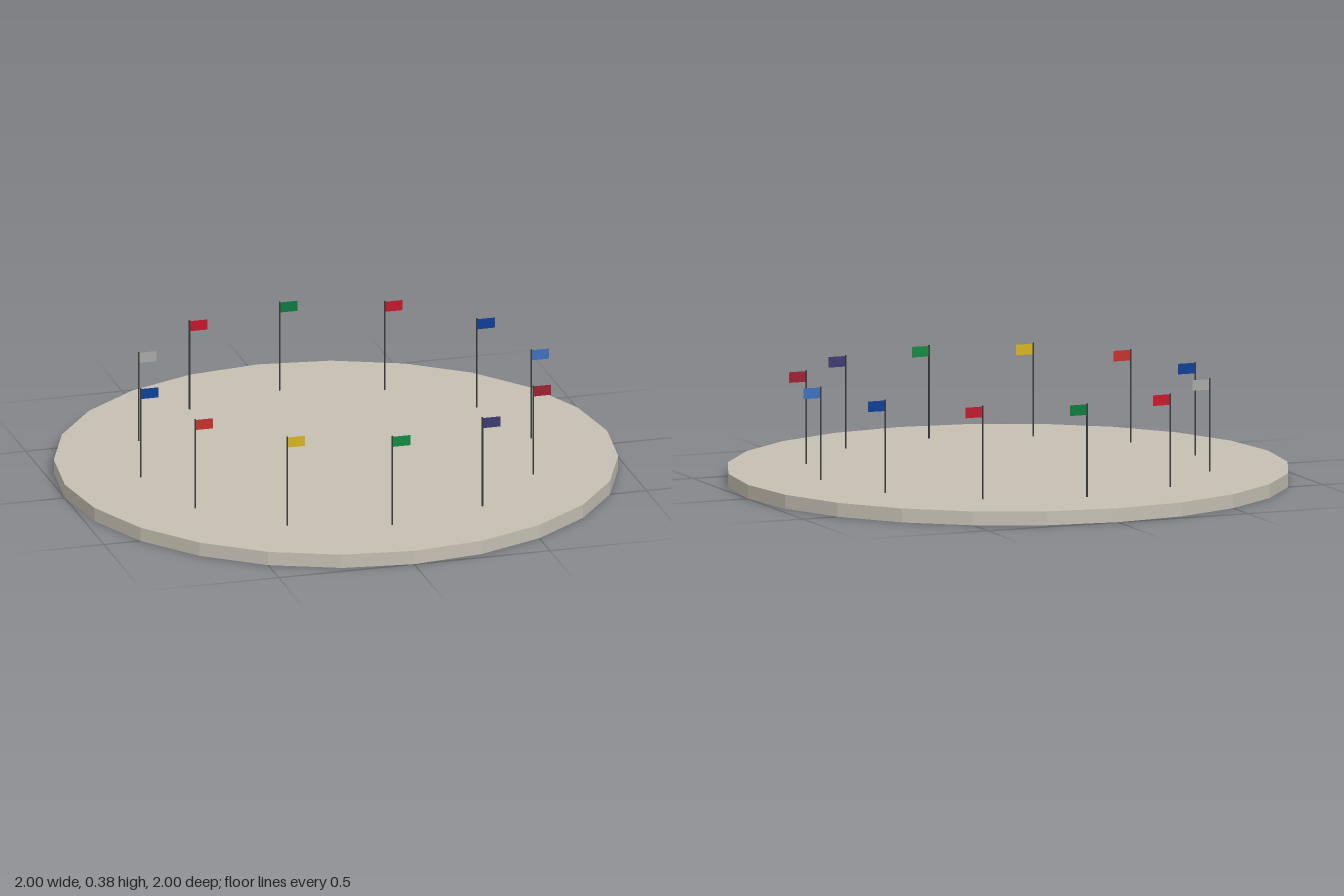
import * as THREE from 'three';

const SIDES = 24, HEIGHT = 0.05, RING = 0.72, POLE_TOP = 0.385;

const paint = (color, side = THREE.FrontSide) =>
  new THREE.MeshStandardMaterial({ color, side, flatShading: true });

function add(parent, name, geometry, material, x, y, z) {
  const mesh = new THREE.Mesh(geometry, material);
  mesh.name = name;
  mesh.position.set(x, y, z);
  parent.add(mesh);
  return mesh;
}

export function createModel() {
  const model = new THREE.Group();
  model.name = 'flagPlaza';

  // Shallow plaza: open rim, paved top and dark ground underneath
  const stone = paint(0xc4beb2, THREE.DoubleSide);
  add(model, 'plazaRim', new THREE.CylinderGeometry(1, 1, HEIGHT, SIDES, 1, true), stone, 0, HEIGHT / 2, 0);
  const disc = new THREE.CircleGeometry(1, SIDES).rotateX(-Math.PI / 2);
  add(model, 'plazaTop', disc, stone, 0, HEIGHT, 0);
  add(model, 'ground', disc, paint(0x2d4020, THREE.DoubleSide), 0, 0.041, 0);

  // Flag colours, counter-clockwise from the front as seen from above
  const colors = [
    0x0f8a40, 0x3c3a6e, 0x9e2030, 0x3c70bc, 0x0a3d96, 0xc0172c,
    0x0a7a3c, 0xc8142a, 0xa8a8a8, 0x0a3f98, 0xc62f2a, 0xd6b41e,
  ];
  const poleGeometry = new THREE.CylinderGeometry(0.003, 0.003, POLE_TOP - HEIGHT, 6);
  const flagGeometry = new THREE.PlaneGeometry(0.065, 0.038);
  const metal = paint(0x3a3a3a);

  // Ring of poles, every flag flying towards +x
  colors.forEach((color, i) => {
    const angle = (i / colors.length) * Math.PI * 2;
    const post = new THREE.Group();
    post.name = 'flagpole' + (i + 1);
    post.position.set(RING * Math.sin(angle), 0, RING * Math.cos(angle));
    add(post, 'pole', poleGeometry, metal, 0, (POLE_TOP + HEIGHT) / 2, 0);
    add(post, 'flag', flagGeometry, paint(color, THREE.DoubleSide), 0.0335, 0.363, 0);
    model.add(post);
  });

  return model;
}
